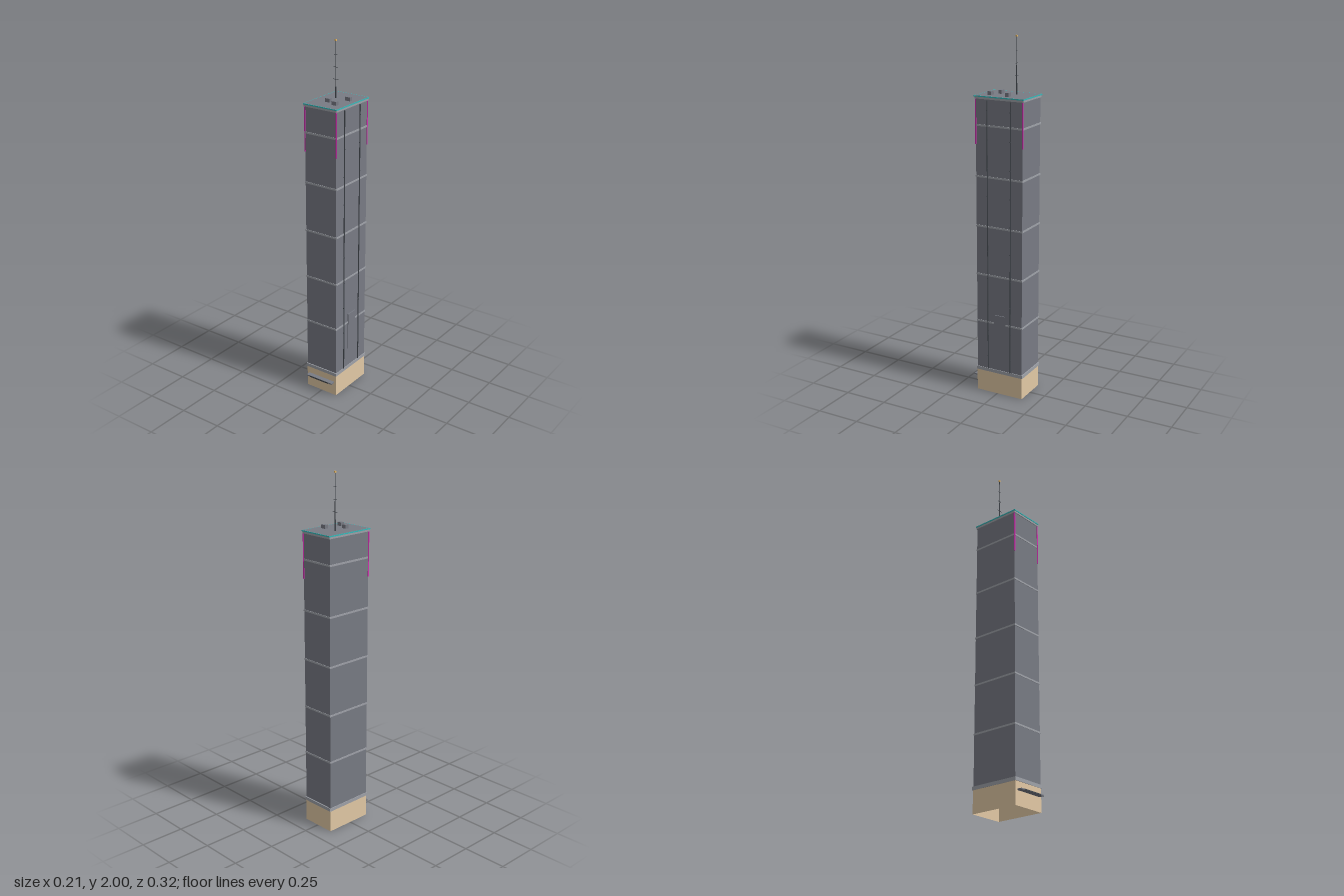
import * as THREE from 'three';

const mat = (name, color, side = THREE.FrontSide) => {
  const m = new THREE.MeshStandardMaterial({ color, side });
  m.name = name;
  return m;
};

export function createModel() {
  const wall = mat('slateWall', 0x787b84);
  const trim = mat('paleTrim', 0x9fa2a9);
  const sand = mat('sandStone', 0xe2c9a5, THREE.DoubleSide);
  const dark = mat('darkMetal', 0x42474d);
  const teal = mat('tealGlow', 0x35b8b8);
  const magenta = mat('magentaGlow', 0xd030b0);
  const beaconMat = mat('amberBeacon', 0xe8b866);

  const root = new THREE.Group();
  root.name = 'skyscraper';
  // Shaft centre and size
  const CX = -0.002, CZ = -0.013, W = 0.2, D = 0.28;
  const X1 = CX + W / 2, X0 = CX - W / 2, Z1 = CZ + D / 2, Z0 = CZ - D / 2;

  const add = (name, geo, m, x, y, z) => {
    const mesh = new THREE.Mesh(geo, m);
    mesh.name = name;
    mesh.position.set(x, y, z);
    root.add(mesh);
    return mesh;
  };
  // Box given by its min and max corners
  const box = (name, m, x0, x1, y0, y1, z0, z1) =>
    add(name, new THREE.BoxGeometry(x1 - x0, y1 - y0, z1 - z0), m, (x0 + x1) / 2, (y0 + y1) / 2, (z0 + z1) / 2);
  // Slab centred on the shaft
  const slab = (name, m, w, d, y0, y1) =>
    box(name, m, CX - w / 2, CX + w / 2, y0, y1, CZ - d / 2, CZ + d / 2);
  // Upright rod from y0 to y1
  const rod = (name, m, r, x, y0, y1, z) =>
    add(name, new THREE.CylinderGeometry(r, r, y1 - y0, 8), m, x, (y0 + y1) / 2, z);

  // Hollow base: four walls, open underneath
  const base = slab('base', sand, 0.202, 0.284, 0, 0.125);
  const idx = Array.from(base.geometry.index.array);
  base.geometry.setIndex([...idx.slice(0, 12), ...idx.slice(24)]);
  base.geometry.clearGroups();

  // Shaft, cornice and floor bands
  slab('baseCornice', trim, 0.207, 0.291, 0.125, 0.144);
  slab('shaft', wall, W, D, 0.144, 1.678);
  for (const y of [0.424, 0.701, 0.979, 1.256, 1.534]) slab('floorBand', trim, W + 0.005, D + 0.005, y - 0.005, y + 0.005);

  // Roof: pale lip, slate deck and thin glowing edge strips
  const RW = 0.207, RD = 0.289, E = 0.003;
  slab('roofLip', trim, RW, RD, 1.674, 1.685);
  slab('roofDeck', wall, RW, RD, 1.685, 1.691);
  for (const s of [-1, 1]) {
    const x = CX + s * (RW + E) / 2, z = CZ + s * (RD + E) / 2;
    box('roofEdgeStrip', teal, x - E / 2, x + E / 2, 1.685, 1.691, CZ - RD / 2 - E, CZ + RD / 2 + E);
    box('roofEdgeStrip', teal, CX - RW / 2, CX + RW / 2, 1.685, 1.691, z - E / 2, z + E / 2);
  }

  // Corner light strips below the roof
  for (const [x, z] of [[X1, Z1], [X0, Z1], [X1, Z0]])
    box('cornerStrip', magenta, x - 0.003, x + 0.003, 1.43, 1.672, z - 0.003, z + 0.003);

  // Pipes with clamps on the left wall
  for (const z of [0.057, -0.083]) {
    rod('pipe', dark, 0.003, X1 + 0.003, 0.144, 1.67, z);
    for (let i = 0; i < 10; i++) rod('pipeClamp', dark, 0.004, X1 + 0.003, 0.218 + i * 0.155, 0.222 + i * 0.155, z);
  }

  // Service panel on the left wall
  box('servicePanel', wall, X1, X1 + 0.005, 0.255, 0.475, -0.05, 0.017);

  // Entrance canopy with dark front edge
  box('canopy', wall, -0.089, 0.086, 0.078, 0.085, Z1, 0.1565);
  box('canopyFront', dark, -0.067, 0.063, 0.077, 0.085, 0.1565, 0.158);

  // Rooftop units
  for (const [x, z] of [[0.054, -0.044], [-0.018, 0.037], [0.046, 0.065]])
    box('roofUnit', wall, x - 0.0145, x + 0.0145, 1.69, 1.711, z - 0.01, z + 0.01);

  // Antenna mast with rungs and beacon
  const MX = -0.031, MZ = -0.048;
  rod('mastFoot', dark, 0.004, MX, 1.69, 1.75, MZ);
  rod('mastLower', dark, 0.0025, MX, 1.75, 1.845, MZ);
  rod('mastUpper', dark, 0.0016, MX, 1.845, 1.995, MZ);
  [[1.79, 0.017], [1.855, 0.013], [1.92, 0.009]].forEach(([y, h]) =>
    box('mastRung', dark, MX - h, MX + h, y - 0.001, y + 0.001, MZ - 0.001, MZ + 0.001));
  box('beacon', beaconMat, MX - 0.0045, MX + 0.0045, 1.991, 2, MZ - 0.0045, MZ + 0.0045);

  return root;
}
